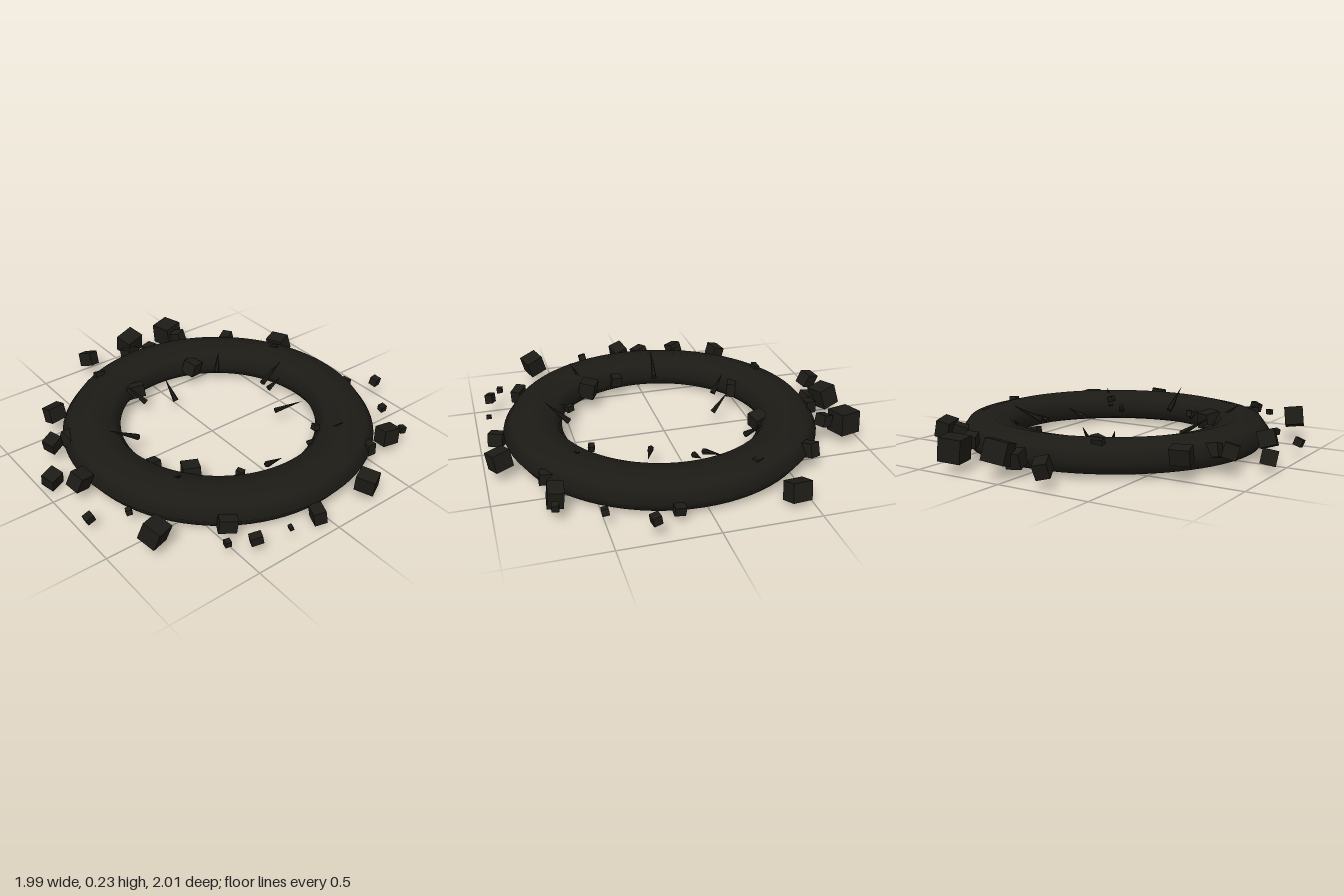
import * as THREE from 'three';

const ringMat = new THREE.MeshStandardMaterial({ color: 0x1c1b16 });
const rockMat = new THREE.MeshStandardMaterial({ color: 0x1c1b16, flatShading: true });

// Small seeded generator for the tumbling of the rubble
function seeded(seed) {
  return () => {
    seed = (seed * 16807) % 2147483647;
    return seed / 2147483647;
  };
}

// Rubble blocks: [x, y, z, width, depth]
const outerBlocks = [
  [-0.22, 0.1, -0.95, 0.07, 0.085], [0.06, 0.13, -0.92, 0.12, 0.1], [0.015, 0.09, -0.85, 0.08, 0.08],
  [0.34, 0.11, -0.915, 0.12, 0.12], [0.125, 0.11, -0.8, 0.07, 0.06], [0.34, 0.13, -0.795, 0.065, 0.065],
  [0.575, 0.11, -0.605, 0.09, 0.06], [0.86, 0.07, -0.425, 0.08, 0.115], [-0.69, 0.13, -0.52, 0.1, 0.065],
  [-0.83, 0.12, -0.29, 0.075, 0.07], [-0.74, 0.11, -0.28, 0.06, 0.08], [-0.945, 0.065, -0.095, 0.08, 0.075],
  [-0.87, 0.12, 0.06, 0.09, 0.08], [-0.955, 0.07, 0.28, 0.045, 0.04], [-0.79, 0.09, 0.375, 0.03, 0.03],
  [-0.8, 0.135, 0.61, 0.1, 0.1], [-0.48, 0.1, 0.74, 0.09, 0.055], [-0.56, 0.1, 0.84, 0.03, 0.03],
  [-0.445, 0.11, 0.905, 0.06, 0.04], [-0.255, 0.09, 0.93, 0.02, 0.025], [-0.06, 0.055, 0.91, 0.065, 0.08],
  [0.255, 0.11, 0.925, 0.085, 0.1], [0.47, 0.1, 0.72, 0.05, 0.075], [0.635, 0.1, 0.705, 0.1, 0.08],
  [0.735, 0.1, 0.72, 0.035, 0.035], [0.815, 0.09, 0.505, 0.035, 0.035], [0.965, 0.11, 0.305, 0.045, 0.045],
  [0.865, 0.07, 0.165, 0.04, 0.055],
];
const innerBlocks = [
  [-0.4, 0.12, 0.345, 0.09, 0.09], [0.21, 0.11, -0.47, 0.08, 0.08], [-0.2, 0.11, -0.46, 0.1, 0.05],
  [-0.5, 0.1, 0.16, 0.055, 0.06], [-0.2, 0.11, 0.49, 0.03, 0.04], [0.33, 0.15, 0.47, 0.035, 0.03],
  [0.69, 0.155, -0.28, 0.03, 0.05], [-0.32, 0.165, -0.65, 0.06, 0.03],
];

// Spikes: blunt end [x, y, z], then tip [x, y, z]
const spikes = [
  [-0.035, 0.06, -0.295, -0.045, 0.17, -0.385],
  [-0.205, 0.09, -0.35, -0.27, 0.18, -0.43],
  [0.31, 0.09, -0.36, 0.38, 0.17, -0.43],
  [0.44, 0.1, -0.09, 0.61, 0.17, -0.125],
  [0.44, 0.09, -0.035, 0.535, 0.12, -0.045],
  [0.32, 0.09, 0.16, 0.475, 0.12, 0.215],
  [0.335, 0.1, 0.475, 0.43, 0.2, 0.58],
  [0.265, 0.08, 0.49, 0.31, 0.14, 0.54],
  [-0.05, 0.11, 0.52, -0.065, 0.235, 0.645],
  [-0.205, 0.09, 0.49, -0.25, 0.14, 0.55],
  [-0.43, 0.11, 0.35, -0.56, 0.215, 0.42],
  [-0.36, 0.1, 0.48, -0.41, 0.18, 0.56],
  [-0.445, 0.12, -0.06, -0.61, 0.22, -0.085],
];

function addBlocks(group, name, list, rand) {
  for (const [x, y, z, w, d] of list) {
    const block = new THREE.Mesh(new THREE.BoxGeometry(w, (w + d) / 2, d), rockMat);
    block.name = name;
    block.position.set(x, y, z);
    block.rotation.set((rand() - 0.5) * 0.7, (rand() - 0.5) * 1.2, (rand() - 0.5) * 0.7);
    group.add(block);
  }
}

function makeSpike([bx, by, bz, tx, ty, tz]) {
  const base = new THREE.Vector3(bx, by, bz);
  const axis = new THREE.Vector3(tx, ty, tz).sub(base);
  const length = axis.length();
  const geo = new THREE.ConeGeometry(0.017, length, 6);
  geo.translate(0, length / 2, 0);
  const spike = new THREE.Mesh(geo, rockMat);
  spike.name = 'spike';
  spike.position.copy(base);
  spike.quaternion.setFromUnitVectors(new THREE.Vector3(0, 1, 0), axis.normalize());
  return spike;
}

export function createModel() {
  const model = new THREE.Group();
  model.name = 'rubbleRing';

  // Flattened ring lying on the ground
  const ringGeo = new THREE.TorusGeometry(0.69, 0.156, 8, 80);
  ringGeo.rotateX(-Math.PI / 2);
  ringGeo.scale(1, 0.58, 1);
  const ring = new THREE.Mesh(ringGeo, ringMat);
  ring.name = 'ring';
  ring.position.set(0.018, 0.0905, 0.029);
  model.add(ring);

  // Rubble scattered around the rim and stuck in the inner edge
  const rubble = new THREE.Group();
  rubble.name = 'rubble';
  const rand = seeded(4127);
  addBlocks(rubble, 'outerBlock', outerBlocks, rand);
  addBlocks(rubble, 'innerBlock', innerBlocks, rand);
  model.add(rubble);

  // Spikes leaning outward over the inner edge
  const spikeGroup = new THREE.Group();
  spikeGroup.name = 'spikes';
  for (const s of spikes) spikeGroup.add(makeSpike(s));
  model.add(spikeGroup);

  return model;
}
